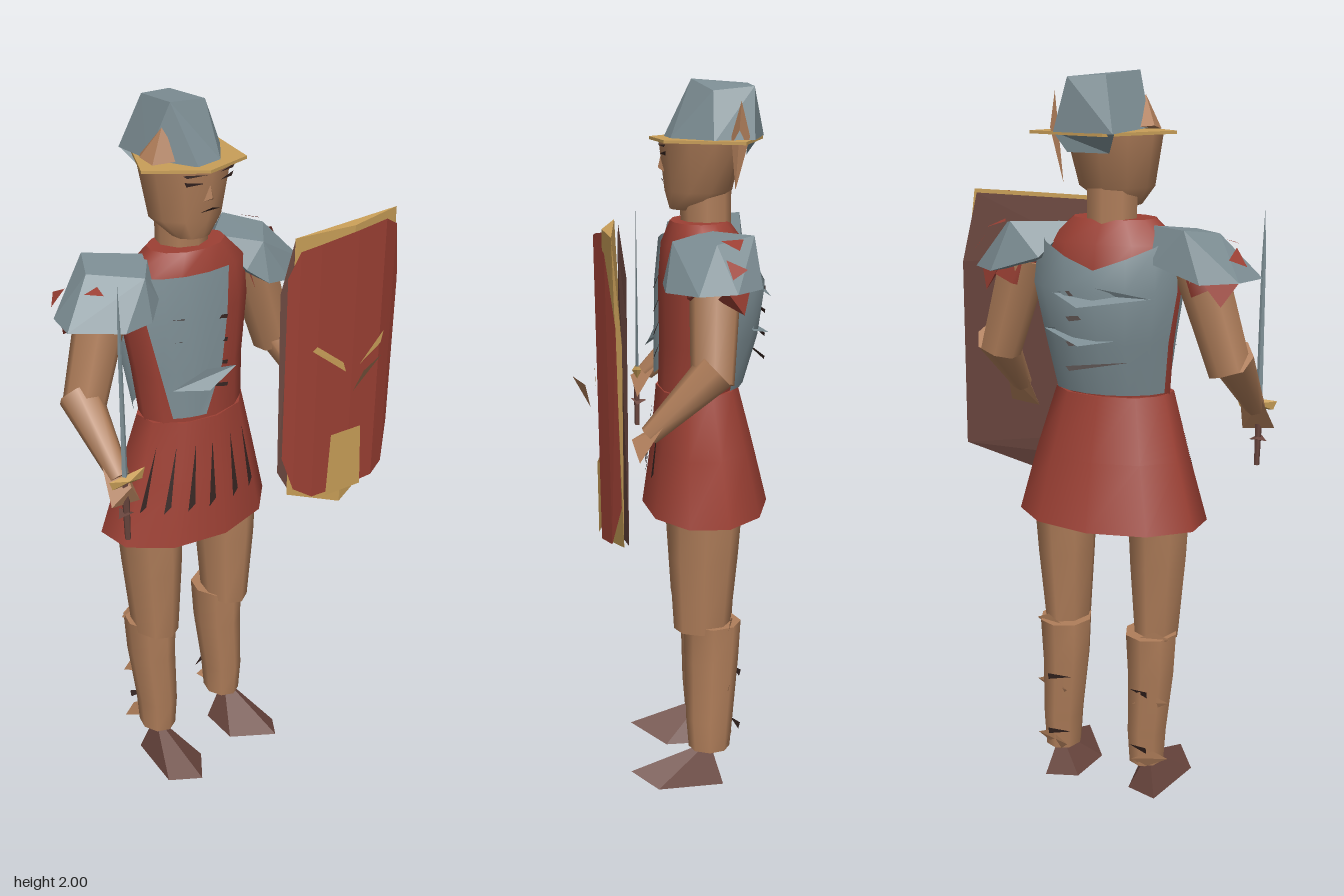
import * as THREE from 'three';
import { ConvexGeometry } from 'three/addons/geometries/ConvexGeometry.js';

const mat = (name, color) => new THREE.MeshStandardMaterial({ name, color, side: THREE.DoubleSide });
const CX = -0.08; // the body's middle line
const rad = THREE.MathUtils.degToRad;
const V = (p) => new THREE.Vector3(...p);

// Surface through elliptical sections [x, y, z, rx, rz, fromAngle, toAngle], listed bottom to top
function loft(sections, n, closed = true) {
  const pos = [], idx = [];
  const m = closed ? n : n + 1;
  for (const [x, y, z, rx, rz, a0 = 0, a1 = 360] of sections) {
    for (let i = 0; i < m; i++) {
      const a = rad(a0 + (a1 - a0) * i / n);
      pos.push(x + rx * Math.sin(a), y, z + rz * Math.cos(a));
    }
  }
  for (let s = 0; s < sections.length - 1; s++) {
    for (let i = 0; i < n; i++) {
      const a = s * m + i, b = s * m + (i + 1) % m;
      idx.push(a, b, b + m, a, b + m, a + m);
    }
  }
  if (closed) [0, sections.length - 1].forEach((s) => {
    const [x, y, z] = sections[s], base = pos.length / 3;
    const ring = pos.slice(s * m * 3, (s + 1) * m * 3);
    pos.push(...ring, x, y, z);
    for (let i = 0; i < n; i++) {
      const p = base + i, q = base + (i + 1) % n;
      if (s) idx.push(p, q, base + n); else idx.push(q, p, base + n);
    }
  });
  const g = new THREE.BufferGeometry();
  g.setAttribute('position', new THREE.Float32BufferAttribute(pos, 3));
  g.setIndex(idx);
  g.computeVertexNormals();
  return g;
}

// Flat fan of corners
function plate(pts) {
  const pos = [];
  for (let i = 1; i < pts.length - 1; i++) pos.push(...pts[0], ...pts[i], ...pts[i + 1]);
  const g = new THREE.BufferGeometry();
  g.setAttribute('position', new THREE.Float32BufferAttribute(pos, 3));
  g.computeVertexNormals();
  return g;
}

const hull = (pts) => new ConvexGeometry(pts.map(V));

// Tapered tube between two points
function limb(a, b, ra, rb, n = 7) {
  const A = V(a), B = V(b), d = B.clone().sub(A);
  const g = new THREE.CylinderGeometry(rb, ra, d.length(), n);
  g.applyQuaternion(new THREE.Quaternion().setFromUnitVectors(new THREE.Vector3(0, 1, 0), d.normalize()));
  const c = A.add(B).multiplyScalar(0.5);
  return g.translate(c.x, c.y, c.z);
}

export function createModel() {
  const model = new THREE.Group();
  const red = mat('red cloth', 0x9c4034), grey = mat('steel', 0x7d8e94), skin = mat('skin', 0xb07e5a);
  const gold = mat('brass', 0xc99f58), brown = mat('leather', 0x6b473f), dark = mat('dark line', 0x33221f);
  const add = (name, geo, m) => {
    const mesh = new THREE.Mesh(geo, m);
    mesh.name = name;
    model.add(mesh);
  };

  // Tunic and skirt
  add('tunic', loft([
    [CX, 1.13, -0.06, 0.155, 0.105], [CX, 1.3, -0.075, 0.17, 0.115], [CX, 1.46, -0.085, 0.195, 0.128],
    [CX, 1.57, -0.08, 0.185, 0.115], [CX, 1.63, -0.07, 0.115, 0.08]], 12), red);
  add('skirt', loft([[CX - 0.005, 0.82, -0.09, 0.268, 0.18], [CX, 1.0, -0.08, 0.216, 0.145],
    [CX, 1.17, -0.065, 0.165, 0.115]], 10), red);
  const onSkirt = (deg, y, off) => {
    const t = (1.17 - y) / 0.35, a = rad(deg);
    return [CX + (0.165 + 0.1 * t + off) * Math.sin(a), y, -0.065 - 0.025 * t + (0.115 + 0.065 * t + off) * Math.cos(a)];
  };
  for (const deg of [-62, -42, -24, -8, 12, 30]) {
    add('skirtSlit', plate([onSkirt(deg, 1.11, 0.004), onSkirt(deg - 5, 0.92, 0.004), onSkirt(deg, 0.94, 0.006)]), dark);
  }

  // Breastplate and back plate
  add('breastplate', loft([[CX, 1.19, -0.06, 0.172, 0.118, -48, -14], [CX, 1.32, -0.07, 0.183, 0.126, -56, 4],
    [CX, 1.46, -0.08, 0.203, 0.134, -62, 10], [CX, 1.58, -0.08, 0.193, 0.122, -68, 16]], 4, false), grey);
  const back = loft([[CX, 1.18, -0.07, 0.168, 0.125, 130, 252], [CX, 1.32, -0.085, 0.185, 0.15, 122, 253],
    [CX, 1.46, -0.095, 0.21, 0.16, 114, 255], [CX, 1.58, -0.085, 0.2, 0.14, 108, 255]], 6, false);
  const bp = back.attributes.position; // dip the neckline
  for (let i = 21; i < 28; i++) bp.setY(i, 1.6 - 0.03 * (3 - Math.abs(i - 24)));
  add('backPlate', back, grey);

  // Overlapping armour bands
  for (let i = 0; i < 4; i++) {
    const y = 1.26 + i * 0.065, w = 0.1 + i * 0.012;
    add('frontBandLine', plate([[CX - w, y + 0.02, 0.03], [CX + 0.03, y - 0.01, 0.056], [CX + 0.035, y, 0.055]]), dark);
    add('backBandLine', plate([[CX - w, y + 0.015, -0.2], [CX + 0.05, y - 0.01, -0.25], [CX + 0.06, y + 0.002, -0.25]]), dark);
  }
  add('frontBand', plate([[-0.22, 1.28, 0.035], [-0.13, 1.27, 0.08], [-0.03, 1.31, 0.07], [-0.12, 1.32, 0.055]]), grey);
  add('backBand', plate([[-0.25, 1.45, -0.24], [-0.06, 1.42, -0.27], [0.02, 1.45, -0.24], [-0.1, 1.47, -0.25]]), grey);
  add('backBand', plate([[-0.2, 1.34, -0.2], [-0.06, 1.32, -0.265], [0.06, 1.35, -0.21], [-0.08, 1.36, -0.23]]), grey);

  // Paired limbs and shoulder guards
  for (const s of [-1, 1]) {
    const side = s < 0 ? 'right' : 'left';
    const P = (u, y, z) => [CX + s * u, y, z];
    add(side + 'ShoulderGuard', hull([P(0.11, 1.615, -0.09), P(0.3, 1.605, -0.1), P(0.24, 1.62, -0.2),
      P(0.2, 1.6, 0.01), P(0.4, 1.49, -0.05), P(0.37, 1.49, -0.15), P(0.29, 1.49, -0.22), P(0.16, 1.53, -0.2),
      P(0.15, 1.53, 0.0), P(0.2, 1.49, 0.035), P(0.28, 1.48, 0.03)]), grey);
    add(side + 'Sleeve', limb(P(0.25, 1.54, -0.1), P(0.285, 1.465, -0.1), 0.07, 0.075), red);
    add(side + 'SleeveTip', hull([P(0.33, 1.47, -0.1), P(0.37, 1.5, -0.12), P(0.33, 1.43, -0.17), P(0.28, 1.5, -0.19)]), red);
    add(side + 'GuardCloth', plate([P(0.352, 1.575, -0.12), P(0.385, 1.53, -0.135), P(0.35, 1.55, -0.175)]), red);
    add(side + 'UpperArm', limb(P(0.25, 1.52, -0.1), P(0.335, 1.25, -0.09), 0.07, 0.058), skin);
    add(side + 'Forearm', limb(P(0.34, 1.29, -0.1), P(0.352, 1.12, 0.075), 0.058, 0.028), skin);
    add(side + 'Hand', hull([P(0.32, 1.15, 0.04), P(0.38, 1.15, 0.04), P(0.4, 1.06, 0.1),
      P(0.31, 1.05, 0.1), P(0.35, 1.11, 0.12)]), skin);

    // Legs
    const L = (u, y, z, rx, rz) => [CX + s * u, y, z, rx, rz];
    const shift = 0.012 * s;
    add(side + 'Thigh', loft([L(0.135, 0.48, -0.077, 0.06, 0.08),
      L(0.138, 0.7, -0.08, 0.078, 0.097), L(0.14, 0.88, -0.085, 0.088, 0.105)], 8), skin);
    add(side + 'Calf', loft([L(0.13 + shift, 0.105, -0.1, 0.05, 0.06), L(0.13 + shift, 0.2, -0.1, 0.056, 0.068),
      L(0.13, 0.38, -0.105, 0.066, 0.078), L(0.13, 0.5, -0.107, 0.073, 0.082)], 8), skin);
    for (const y of [0.17, 0.34]) {
      add(side + 'CalfStrap', plate([P(0.09, y, -0.165), P(0.15, y + 0.012, -0.19), P(0.15, y - 0.008, -0.185)]), dark);
    }
    for (const y of [0.13, 0.3, 0.49]) {
      add(side + 'CalfFlap', hull([P(0.16, y + 0.03, -0.16), P(0.1, y, -0.17), P(0.2, y + 0.01, -0.15), P(0.13, y - 0.03, -0.15)]), skin);
    }
    const F = (u, y, z) => P(u + 0.014 * s, y, z);
    add(side + 'Foot', hull([F(0.14, 0.125, -0.1), F(0.08, 0, -0.11), F(0.17, 0, -0.14),
      F(0.213, 0.01, 0.05), F(0.15, 0.035, 0.13), F(0.06, 0.005, 0.02)]), brown);
  }
  // Cloth showing through the shoulder guards
  add('leftClothPatch', plate([[0.19, 1.615, -0.17], [0.22, 1.615, -0.11], [0.255, 1.595, -0.155]]), red);
  add('rightClothPatch', plate([[-0.42, 1.575, -0.055], [-0.39, 1.575, -0.015], [-0.38, 1.585, -0.055]]), red);

  // Head and face
  add('neck', limb([CX, 1.59, -0.09], [CX, 1.74, -0.085], 0.068, 0.072, 8), skin);
  add('head', loft([[CX - 0.01, 1.66, -0.04, 0.05, 0.05], [CX - 0.005, 1.71, -0.068, 0.1, 0.092],
    [CX, 1.845, -0.074, 0.128, 0.114]], 10), skin);
  add('leftEar', plate([[0.025, 1.72, -0.16], [0.045, 1.86, -0.195], [0.042, 1.95, -0.172], [0.058, 1.86, -0.145]]), skin);
  add('rightEar', hull([[-0.2, 1.855, -0.05], [-0.2, 1.865, -0.1], [-0.16, 1.94, -0.06], [-0.14, 1.86, -0.17],
    [-0.13, 1.86, -0.02]]), skin);
  add('nose', hull([[-0.085, 1.82, 0.03], [-0.1, 1.76, 0.025], [-0.065, 1.76, 0.025], [-0.085, 1.77, 0.042]]), skin);
  for (const s of [-1, 1]) {
    add('eye', plate([[CX + s * 0.025, 1.81, 0.037], [CX + s * 0.08, 1.82, 0.024], [CX + s * 0.075, 1.808, 0.024]]), dark);
    add('eyebrow', plate([[CX + s * 0.02, 1.832, 0.042], [CX + s * 0.085, 1.838, 0.024], [CX + s * 0.075, 1.83, 0.028]]), dark);
  }
  add('mouth', plate([[-0.115, 1.735, 0.028], [-0.05, 1.735, 0.028], [-0.08, 1.743, 0.034]]), dark);

  // Helmet with brass brim
  add('helmet', hull([[-0.14, 2.0, -0.05], [-0.11, 1.99, -0.2], [-0.01, 1.985, -0.21], [0.015, 1.975, -0.1],
    [-0.185, 1.86, -0.09], [-0.115, 1.85, 0.025], [-0.03, 1.85, 0.01], [0.068, 1.845, -0.1],
    [0.03, 1.85, -0.21], [-0.15, 1.85, -0.25]]), grey);
  add('brim', hull([-1, 1].flatMap((k) => [[-0.12, -0.245], [0.11, -0.18], [0.04, 0.03], [-0.11, 0.065], [-0.24, -0.045]]
    .map(([x, z]) => [x, 1.847 + k * 0.004, z]))), gold);
  add('neckGuard', plate([[0.04, 1.85, -0.19], [-0.15, 1.85, -0.24], [-0.12, 1.8, -0.2], [0.0, 1.8, -0.19]]), grey);

  // Sword
  add('swordBlade', hull([[-0.444, 1.13, 0.1], [-0.426, 1.13, 0.1], [-0.435, 1.13, 0.105], [-0.435, 1.13, 0.095],
    [-0.441, 1.5, 0.1], [-0.429, 1.5, 0.1], [-0.435, 1.66, 0.1]]), grey);
  add('swordGuard', hull([[-0.485, 1.135, 0.1], [-0.37, 1.14, 0.1], [-0.38, 1.11, 0.1], [-0.475, 1.11, 0.1],
    [-0.43, 1.125, 0.115], [-0.43, 1.125, 0.085]]), gold);
  add('swordGrip', limb([-0.433, 0.95, 0.1], [-0.435, 1.12, 0.1], 0.008, 0.011, 5), brown);
  add('swordPommel', hull([[-0.46, 1.02, 0.1], [-0.41, 1.02, 0.1], [-0.435, 1.035, 0.12], [-0.435, 1.03, 0.07]]), brown);

  // Bowed shield face: columns [x, bottom, top, z]
  const columns = [[0.07, 1.02, 1.55, 0.152], [0.1, 0.92, 1.62, 0.168], [0.16, 0.88, 1.63, 0.183],
    [0.28, 0.88, 1.645, 0.2], [0.38, 0.88, 1.655, 0.204], [0.45, 0.89, 1.62, 0.177], [0.492, 1.0, 1.45, 0.152]];
  for (let i = 1; i < columns.length; i++) {
    const [xa, la, ha, za] = columns[i - 1], [xb, lb, hb, zb] = columns[i];
    add('shieldFace', plate([[xa, la, za - 0.005], [xb, lb, zb - 0.005], [xb, hb, zb + 0.005], [xa, ha, za + 0.005]]), red);
  }
  add('shieldRim', hull([[0.09, 0.9, 0.148], [0.09, 1.655, 0.16], [0.26, 0.832, 0.19], [0.28, 1.655, 0.19],
    [0.465, 1.66, 0.165], [0.488, 0.895, 0.142], [0.488, 1.4, 0.142]]), gold);
  add('shieldBack', hull([[0.07, 0.97, 0.13], [0.07, 1.5, 0.13], [0.1, 1.645, 0.15], [0.45, 1.65, 0.15],
    [0.49, 1.45, 0.13], [0.49, 0.9, 0.13], [0.26, 0.84, 0.15], [0.11, 0.9, 0.135]]), brown);

  // Shield ornaments
  add('shieldPanel', plate([[0.2, 0.875, 0.193], [0.325, 0.875, 0.207], [0.315, 1.065, 0.209], [0.21, 1.065, 0.197]]), gold);
  add('shieldStripe', plate([[0.14, 1.335, 0.185], [0.25, 1.25, 0.206], [0.24, 1.28, 0.205], [0.155, 1.345, 0.188]]), gold);
  add('shieldStripe', plate([[0.3, 1.26, 0.21], [0.38, 1.3, 0.21], [0.39, 1.335, 0.21], [0.365, 1.3, 0.21]]), gold);
  add('shieldBoss', plate([[0.26, 1.195, 0.225], [0.36, 1.28, 0.235], [0.25, 1.275, 0.27]]), skin);
  return model;
}
